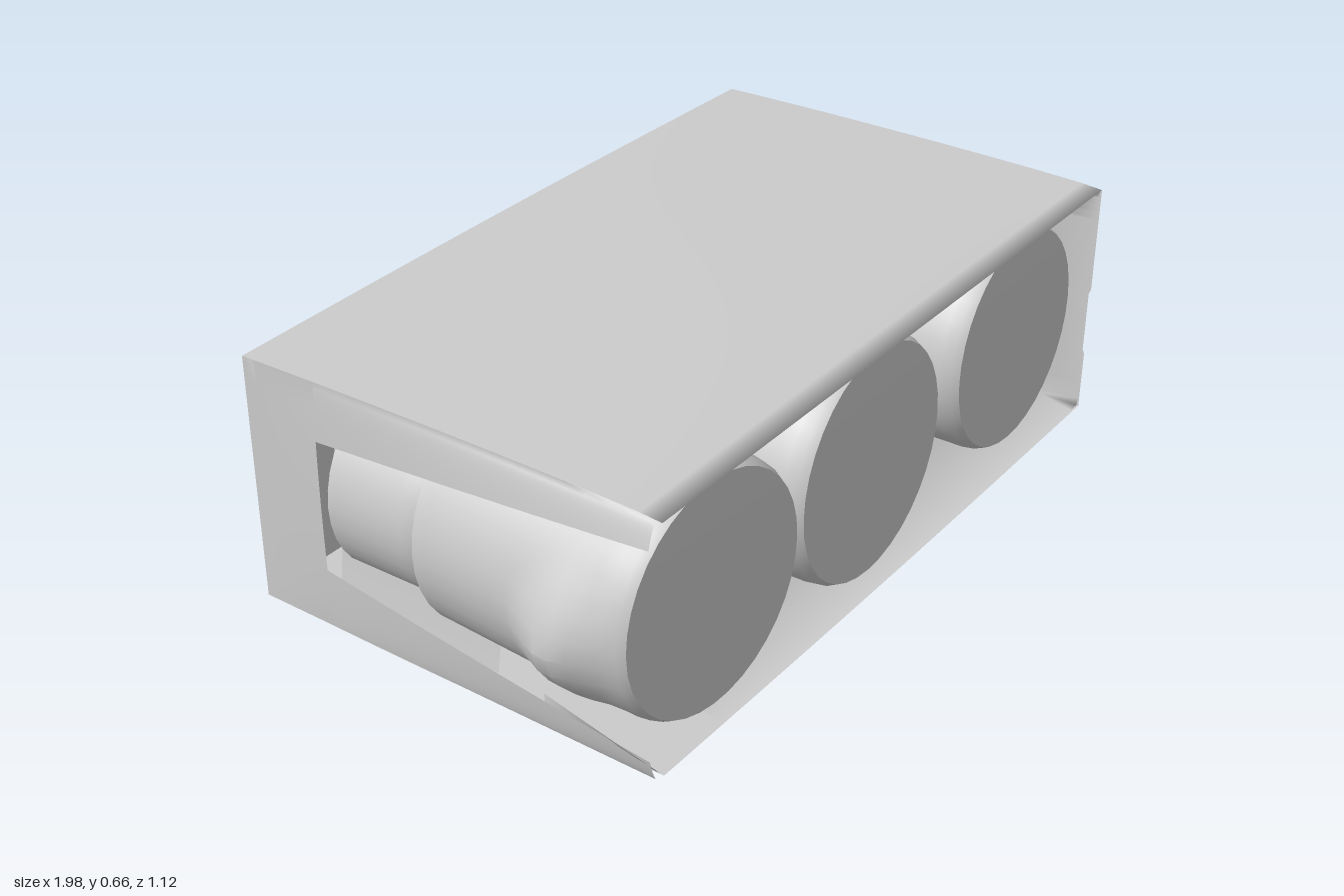
import * as THREE from 'three';
import { ParametricGeometry } from 'three/addons/geometries/ParametricGeometry.js';
import { toCreasedNormals } from 'three/addons/utils/BufferGeometryUtils.js';

const material = new THREE.MeshStandardMaterial({ color: 0xcccccc, side: THREE.DoubleSide });
const { lerp } = THREE.MathUtils;
const bow = (t) => Math.sin(Math.PI * THREE.MathUtils.clamp(t, 0, 1));
const BACK = -0.56, FRONT = 0.56, LEFT = -0.87;

// Carton outline: softly bulging top and bottom, slightly leaning sides
const topY = (u, v) => 0.632 + 0.024 * Math.sqrt(bow(lerp(0.12, 1, u))) * (0.5 + 0.5 * bow(v));
const bottomY = (u, v) => Math.max(0, 0.018 - 0.012 * bow(u) - 0.008 * bow(v));
const rightX = (y) => 0.98 + 0.015 * (y / 0.64);
const leftX = (z, y) => LEFT - 0.06 * ((z - BACK) / 1.12) * Math.sqrt(bow(y / 0.64));

function createModel() {
  const model = new THREE.Group();

  const add = (name, geometry) => {
    const mesh = new THREE.Mesh(geometry, material);
    mesh.name = name;
    model.add(mesh);
    return mesh;
  };

  // A curved sheet from a rule (u, v) -> [x, y, z]
  const sheet = (name, rule, nu = 20, nv = 20) =>
    add(name, new ParametricGeometry((u, v, target) => target.set(...rule(u, v)), nu, nv));

  // Carton panels
  sheet('topPanel', (u, v) => [
    lerp(LEFT, rightX(0.64), v), topY(u, v), lerp(BACK, FRONT, u)]);
  sheet('bottomPanel', (u, v) => [
    lerp(LEFT, rightX(0), u), bottomY(v, u), lerp(BACK, FRONT, v)]);
  sheet('backPanel', (u, v) => {
    const y = lerp(bottomY(0, v), topY(0, v), u);
    return [lerp(LEFT, rightX(y), v), y, BACK];
  });
  sheet('rightPanel', (u, v) => {
    const y = lerp(bottomY(v, 1), topY(v, 1), u);
    const notch = 0.025 * bow((u - 0.25) / 0.3);
    return [rightX(y), y, lerp(BACK, FRONT - notch, v)];
  });

  // Left panel: solid at the back, torn open towards the front
  const leftStrip = (name, z0, z1, low, high) =>
    sheet(name, (u, v) => {
      const z = lerp(z0, z1, u);
      const y = lerp(low(u), high(u), v);
      return [leftX(z, y), y, z];
    }, 16, 10);
  leftStrip('leftBackStrip', BACK, -0.35, () => 0.015, (u) => topY(u * 0.19, 0));
  leftStrip('leftUpperStrip', -0.35, 0.55, (u) => 0.5 + 0.08 * u, (u) => topY(0.19 + 0.8 * u, 0));
  leftStrip('leftLowerStrip', -0.35, 0.55, () => 0.015, (u) => 0.17 - 0.1 * u);
  sheet('recessedLiner', (u, v) => [
    -0.84 + 0.03 * bow(v), lerp(0.06, 0.6, v), lerp(-0.36, 0.1, u)]);

  // Front web, stretched inwards between the cans
  sheet('frontWeb', (u, v) => {
    const edge = Math.min(1, (1 - u) * 25, Math.min(v, 1 - v) * 5);
    const y = lerp(0.018, 0.632, v);
    return [lerp(-0.66, rightX(y), u), y, 0.555 - 0.22 * Math.sqrt(edge)];
  }, 50, 30);

  // Cans lying on their sides, with a narrow rounded rim at the front
  const can = (name, x, radius, back, front, dent = 0) => {
    const length = front - back;
    const profile = [[0, 0]];
    for (let i = 0; i <= 14; i++) profile.push([radius, (i / 14) * (length - 0.05)]);
    profile.push([radius * 0.985, length - 0.02], [radius * 0.95, length], [0, length + 0.004]);
    const geometry = new THREE.LatheGeometry(
      profile.map(([r, y]) => new THREE.Vector2(r, y)), 36).rotateX(Math.PI / 2);
    // Push a pointed bulge out of the outer side
    const p = geometry.attributes.position;
    for (let i = 0; i < p.count; i++) {
      if (p.getX(i) > -radius * 0.5) continue;
      const distance = Math.hypot((p.getY(i) + 0.07) / 0.2, (p.getZ(i) + back - 0.36) / 0.13);
      p.setX(i, p.getX(i) - dent * Math.max(0, 1 - distance));
    }
    const mesh = add(name, toCreasedNormals(geometry, 0.5));
    mesh.position.set(x, 0.34, back);
    return mesh;
  };
  can('leftCan', -0.62, 0.293, -0.04, 0.54, 0.06).rotation.y = -0.07;
  can('middleCan', -0.035, 0.302, 0.05, 0.535);
  can('rightCan', 0.67, 0.295, 0.05, 0.515);
  can('rearCan', -0.63, 0.25, -0.33, -0.07);

  // Torn lower lip curling outwards at the open corner
  sheet('tornLip', (u, v) => [
    lerp(-0.87, -0.93, v * u), 0.02 + 0.07 * v, lerp(0.25, 0.55, u)], 8, 4);

  return model;
}

export { createModel };
